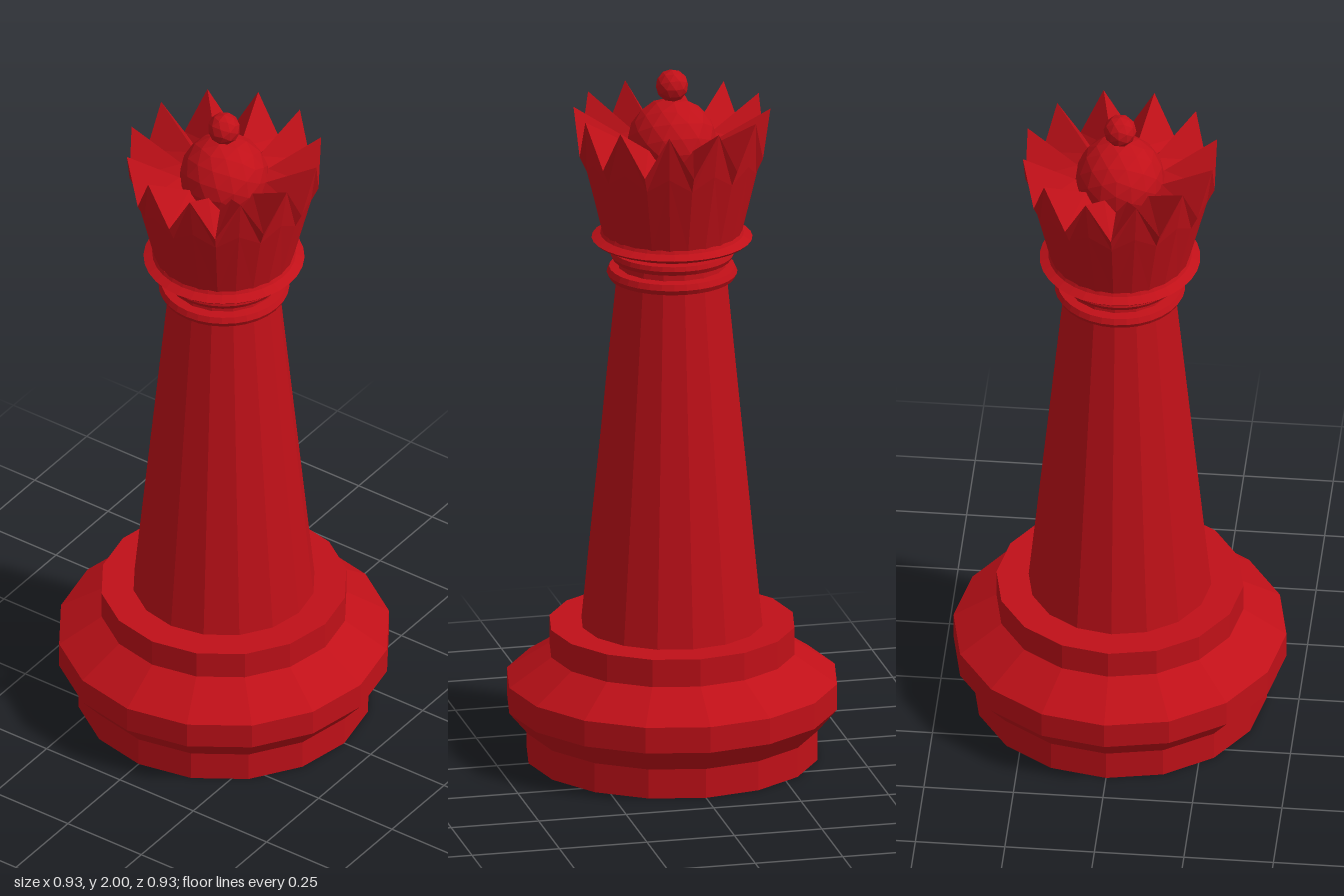
import * as THREE from 'three';

const red = new THREE.MeshStandardMaterial({ color: 0xc01018, flatShading: true, side: THREE.DoubleSide });

function add(group, name, geometry, y = 0) {
  const mesh = new THREE.Mesh(geometry, red);
  mesh.name = name;
  mesh.position.y = y;
  group.add(mesh);
  return mesh;
}

// Turned part from [radius, height] pairs
function turned(points, sides) {
  return new THREE.LatheGeometry(points.map(([r, y]) => new THREE.Vector2(r, y)), sides);
}

// Twelve-pointed crown: rings of 24 points, odd ones rise into tips
function crownGeometry() {
  const n = 24;
  const rings = [
    () => [0, 1.53],
    () => [0.195, 1.53],
    (tip) => (tip ? [0.25, 1.76] : [0.243, 1.72]),
    (tip) => (tip ? [0.274, 1.89] : [0.264, 1.765]),
    (tip) => (tip ? [0.125, 1.8] : [0.12, 1.76]),
    () => [0, 1.77],
  ];
  const positions = [];
  const index = [];
  rings.forEach((ring, j) => {
    for (let i = 0; i < n; i++) {
      const a = (i / n) * Math.PI * 2;
      const [r, y] = ring(i % 2 === 1);
      positions.push(r * Math.sin(a), y, r * Math.cos(a));
      if (j === rings.length - 1) continue;
      const p = j * n + i;
      const q = j * n + ((i + 1) % n);
      // Alternate the diagonal so both halves of a tooth mirror each other
      if (i % 2) index.push(p, q, p + n, q, q + n, p + n);
      else index.push(p, q, q + n, p, q + n, p + n);
    }
  });
  const g = new THREE.BufferGeometry();
  g.setAttribute('position', new THREE.Float32BufferAttribute(positions, 3));
  g.setIndex(index);
  g.computeVertexNormals();
  return g;
}

export function createModel() {
  const model = new THREE.Group();
  model.name = 'chessQueen';

  // Stepped foot
  add(model, 'base', turned([
    [0, 0], [0.41, 0], [0.41, 0.085], [0.465, 0.15], [0.465, 0.225],
    [0.345, 0.305], [0.345, 0.385], [0, 0.385],
  ], 16));

  // Tapered column
  add(model, 'stem', turned([[0.255, 0.385], [0.155, 1.4], [0.145, 1.478], [0, 1.478]], 16));

  // Neck rings
  add(model, 'lowerRing', turned([
    [0.14, 1.395], [0.175, 1.398], [0.182, 1.412], [0.175, 1.428], [0.14, 1.432],
  ], 32));
  add(model, 'upperRing', turned([
    [0.14, 1.448], [0.165, 1.452], [0.172, 1.465], [0.168, 1.478], [0, 1.48],
  ], 32));

  // Flared collar under the crown
  add(model, 'collar', turned([
    [0, 1.49], [0.18, 1.492], [0.215, 1.505], [0.224, 1.513], [0.2, 1.525], [0.195, 1.535], [0, 1.535],
  ], 32));

  add(model, 'crown', crownGeometry());

  // Dome and finial
  add(model, 'dome', new THREE.IcosahedronGeometry(0.125, 2), 1.79);
  add(model, 'finial', new THREE.IcosahedronGeometry(0.046, 1), 1.955);

  return model;
}
